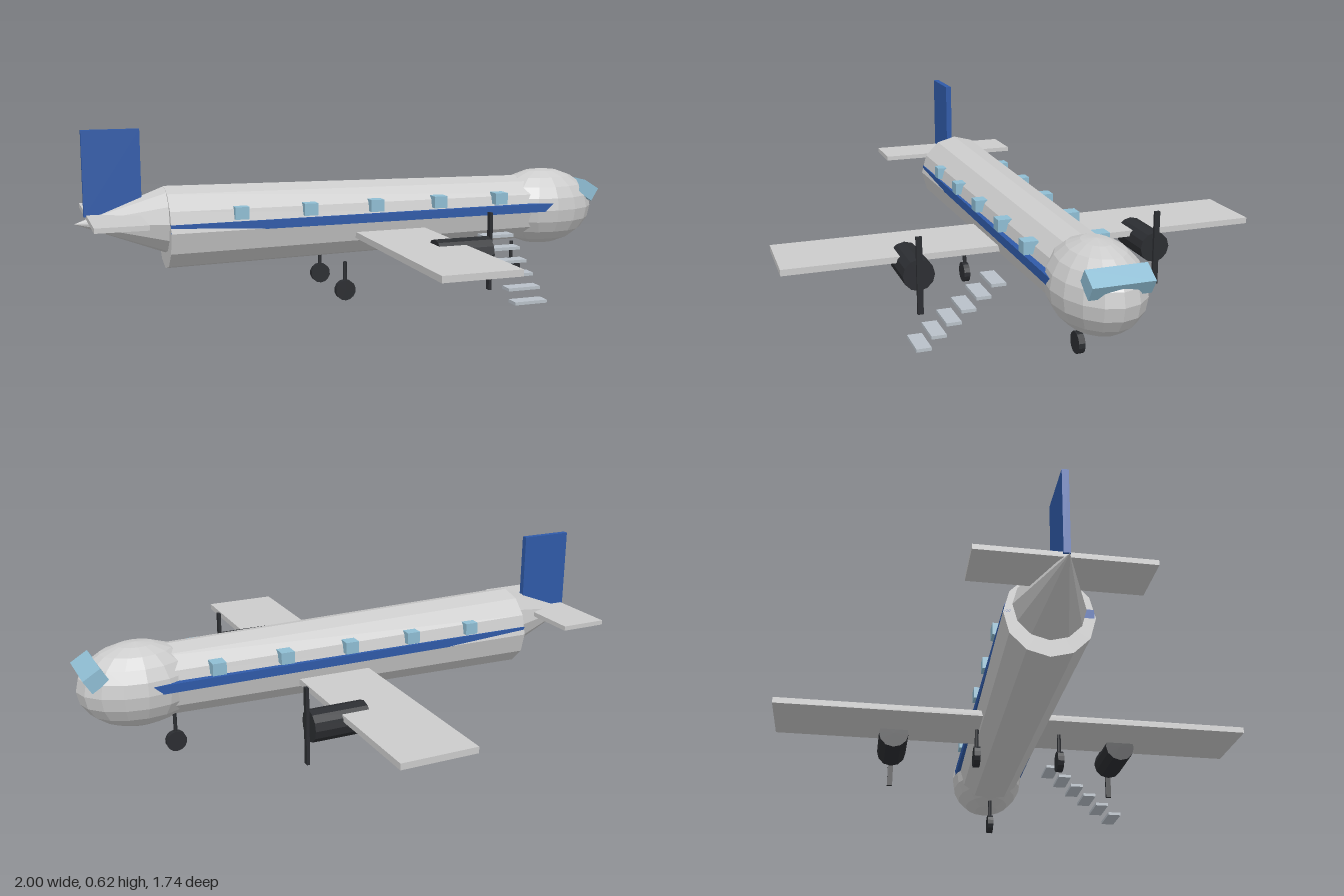
import * as THREE from 'three';

const material = (color) => new THREE.MeshStandardMaterial({ color, flatShading: true });

export function createModel() {
  const plane = new THREE.Group();
  plane.name = 'airplane';
  const grey = material(0xcccccc);
  const blue = material(0x2f5aa8);
  const glass = material(0x8fbdd3);
  const dark = material(0x2b2d31);
  const metal = material(0xb8c0c8);

  const add = (name, geometry, mat, x, y, z) => {
    const mesh = new THREE.Mesh(geometry, mat);
    mesh.name = name;
    mesh.position.set(x, y, z);
    plane.add(mesh);
    return mesh;
  };
  const box = (name, mat, [w, h, d], [x, y, z]) =>
    add(name, new THREE.BoxGeometry(w, h, d), mat, x, y, z);
  // Cylinder lying along x, from x0 to x1
  const tubeX = (name, mat, r0, r1, x0, x1, y, z) =>
    add(name, new THREE.CylinderGeometry(r1, r0, x1 - x0, 12).rotateZ(-Math.PI / 2),
      mat, (x0 + x1) / 2, y, z);

  // Body: tapered fuselage, rounded nose, tail cone
  tubeX('fuselage', grey, 0.146, 0.124, -0.695, 0.785, 0.276, 0);
  add('nose', new THREE.SphereGeometry(1, 16, 10).scale(0.209, 0.148, 0.148), grey, 0.786, 0.277, 0);
  add('tailCone', new THREE.ConeGeometry(0.117, 0.305, 12).rotateZ(Math.PI / 2),
    grey, -0.8475, 0.304, 0);

  // Cockpit window, tilted over the nose
  box('cockpitWindow', glass, [0.07, 0.055, 0.2], [0.944, 0.342, 0]).rotation.z = -0.55;

  // Wings and tail surfaces
  box('wing', grey, [0.27, 0.022, 1.74], [0.105, 0.229, 0]);
  box('tailplane', grey, [0.175, 0.017, 0.55], [-0.872, 0.326, 0]);
  box('tailFin', blue, [0.195, 0.295, 0.022], [-0.87, 0.475, 0]);

  for (const side of [1, -1]) {
    const label = side > 0 ? 'left' : 'right';

    // Stripe and windows along the fuselage
    box(`${label}Stripe`, blue, [1.48, 0.031, 0.04], [0.045, 0.29, side * 0.121]);
    for (let i = 0; i < 5; i++)
      box(`${label}Window${i + 1}`, glass, [0.049, 0.043, 0.05], [-0.451 + i * 0.248, 0.335, side * 0.124]);

    // Engine with propeller blade
    tubeX(`${label}Engine`, dark, 0.055, 0.055, 0.142, 0.34, 0.203, side * 0.433);
    box(`${label}Propeller`, dark, [0.011, 0.27, 0.02], [0.348, 0.204, side * 0.433]);
  }

  // Landing gear: nose wheel and two main wheels
  for (const [name, x, z] of [['nose', 0.665, 0], ['mainLeft', -0.08, 0.148], ['mainRight', -0.08, -0.148]]) {
    add(`${name}Strut`, new THREE.CylinderGeometry(0.007, 0.007, 0.11, 8), dark, x, 0.085, z);
    add(`${name}Wheel`, new THREE.CylinderGeometry(0.037, 0.037, 0.022, 14).rotateX(Math.PI / 2),
      dark, x, 0.037, z);
  }

  // Boarding steps descending away from the left side
  for (let i = 0; i < 6; i++)
    box(`step${i + 1}`, metal, [0.122, 0.011, 0.05], [0.479, 0.214 - i * 0.0375, 0.223 + i * 0.05]);

  return plane;
}
